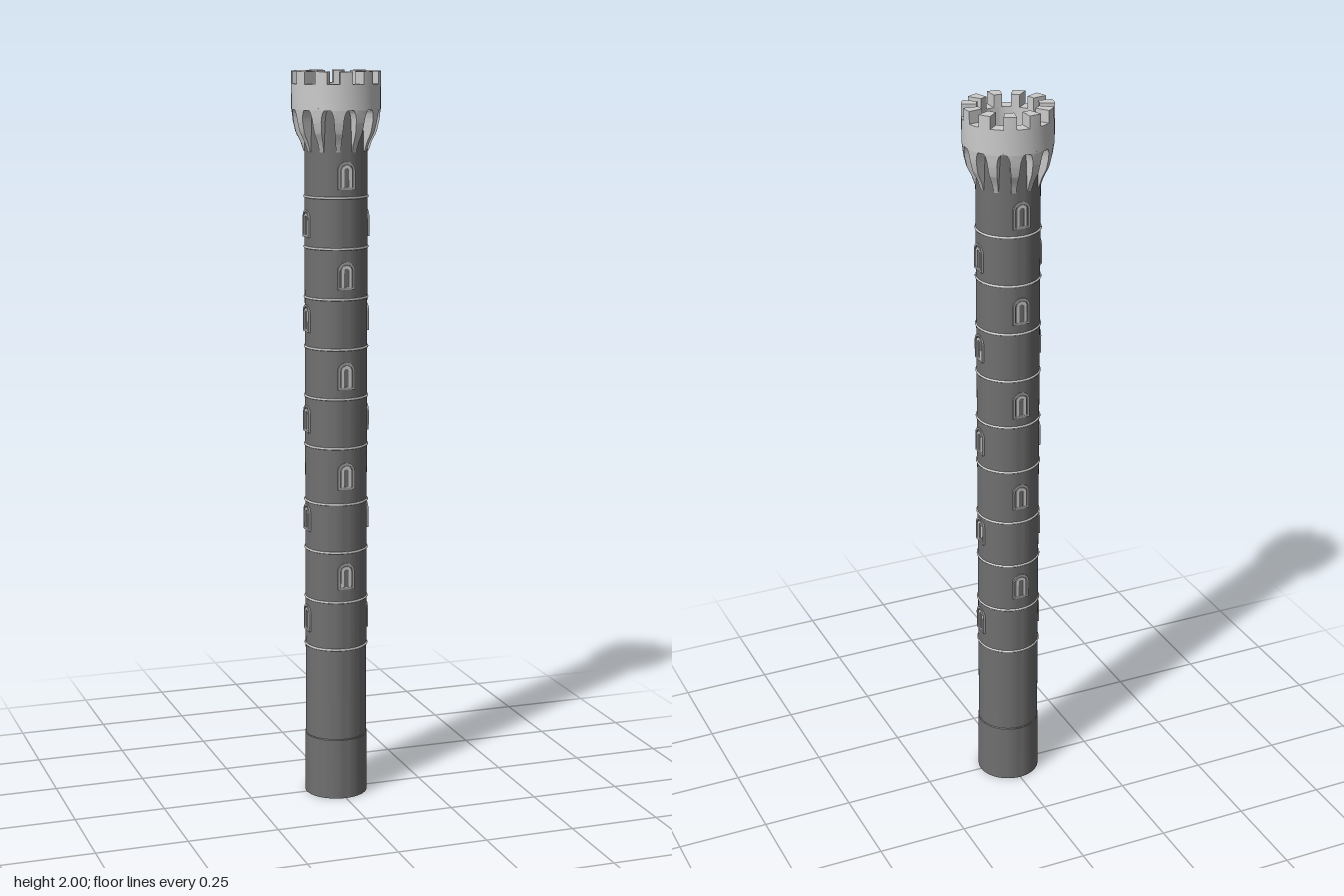
import * as THREE from 'three';
import { toCreasedNormals } from 'three/addons/utils/BufferGeometryUtils.js';

const light = new THREE.MeshStandardMaterial({ color: 0xcccccc });
const dark = new THREE.MeshStandardMaterial({ color: 0x707070 });
const mid = new THREE.MeshStandardMaterial({ color: 0xa0a0a0 });

function add(parent, name, geometry, material) {
  const mesh = new THREE.Mesh(geometry, material);
  mesh.name = name;
  parent.add(mesh);
  return mesh;
}

// Turned part from [radius, y] pairs, with sharp edges kept
function turned(pairs) {
  const points = pairs.map(([r, y]) => new THREE.Vector2(r, y));
  return toCreasedNormals(new THREE.LatheGeometry(points, 64), 0.5);
}

// Piecewise linear lookup in [y, value] pairs
function lookup(pairs, y) {
  for (let i = 1; i < pairs.length; i++) {
    const [y0, v0] = pairs[i - 1], [y1, v1] = pairs[i];
    if (y <= y1) return v0 + (v1 - v0) * (y - y0) / (y1 - y0);
  }
  return pairs[pairs.length - 1][1];
}

// Block wrapped round the tower axis; outer radius and half angle vary with y
function bentBlock(y0, y1, inner, outer, halfAngle, rows) {
  const g = new THREE.BoxGeometry(1, 1, 1, 5, rows, 1);
  const p = g.attributes.position;
  for (let i = 0; i < p.count; i++) {
    const y = y0 + (p.getY(i) + 0.5) * (y1 - y0);
    const a = p.getX(i) * 2 * halfAngle(y);
    const r = p.getZ(i) > 0 ? outer(y) : inner;
    p.setXYZ(i, Math.sin(a) * r, y, Math.cos(a) * r);
  }
  return toCreasedNormals(g, 0.5);
}

// Round-headed outline centred on x, standing on y = bottom
function archPath(path, half, bottom, spring) {
  path.moveTo(-half, bottom);
  path.lineTo(half, bottom);
  path.lineTo(half, spring);
  path.absarc(0, spring, half, 0, Math.PI, false);
  path.closePath();
  return path;
}

function archFrame(outerHalf, innerHalf, bottom, sill, spring, depth) {
  const shape = archPath(new THREE.Shape(), outerHalf, bottom, spring);
  shape.holes.push(archPath(new THREE.Path(), innerHalf, sill, spring));
  return new THREE.ExtrudeGeometry(shape, { depth, bevelEnabled: false, curveSegments: 12 });
}

export function createModel() {
  const tower = new THREE.Group();
  tower.name = 'tower';

  // Hollow shaft with a slightly wider foot, and its pale lining
  add(tower, 'shaft', turned([
    [0.066, 0], [0.0865, 0], [0.0865, 0.17], [0.0845, 0.172], [0.0845, 1.9],
  ]), dark);
  add(tower, 'lining', turned([[0, 1.88], [0.066, 1.88], [0.066, 0]]), light);

  // String courses
  for (const y of [0.43, 0.565, 0.705, 0.84, 0.995, 1.13, 1.265, 1.4, 1.535, 1.67]) {
    const ring = add(tower, 'stringCourse', new THREE.TorusGeometry(0.0845, 0.0032, 8, 64), light);
    ring.rotation.x = Math.PI / 2;
    ring.position.y = y;
  }

  // Arched windows, alternating between the front/back and the two sides
  const outerFrame = archFrame(0.024, 0.018, -0.038, -0.032, 0.012, 0.009);
  const innerFrame = archFrame(0.0145, 0.0065, -0.032, -0.031, 0.012, 0.009);
  const windows = [
    { heights: [0.64, 0.92, 1.195, 1.465, 1.73], turns: [0, Math.PI] },
    { heights: [0.51, 0.795, 1.07, 1.345, 1.6], turns: [Math.PI / 2, -Math.PI / 2] },
  ];
  for (const { heights, turns } of windows) {
    for (const y of heights) {
      for (const turn of turns) {
        const win = new THREE.Group();
        win.name = 'window';
        add(win, 'windowFrame', outerFrame, mid).position.z = 0.0775;
        add(win, 'windowSurround', innerFrame, light).position.z = 0.077;
        win.position.y = y;
        win.rotation.y = turn;
        tower.add(win);
      }
    }
  }

  // Corbels that flare outwards and meet in small arches
  const flare = [[1.79, 0.0865], [1.815, 0.095], [1.84, 0.108], [1.87, 0.115], [1.905, 0.119]];
  const corbelHalf = (y) => {
    if (y < 1.865) return lookup([[1.79, 0.07], [1.865, 0.11]], y);
    const t = Math.min(1, (y - 1.865) / 0.04);
    return 0.11 + (Math.PI / 12 - 0.11) * (1 - Math.sqrt(1 - t * t));
  };
  const corbel = bentBlock(1.79, 1.905, 0.08, (y) => lookup(flare, y), corbelHalf, 20);
  for (let i = 0; i < 12; i++) {
    add(tower, 'corbel', corbel, light).rotation.y = (i + 0.5) * Math.PI / 6;
  }

  // Parapet wall and the floor inside it
  add(tower, 'parapet', turned([
    [0.08, 1.9], [0.119, 1.9], [0.119, 1.967], [0.08, 1.967], [0.08, 1.9],
  ]), light);
  const floor = add(tower, 'floor', new THREE.CircleGeometry(0.0845, 64), dark);
  floor.rotation.x = -Math.PI / 2;
  floor.position.y = 1.902;

  // Eleven merlons with equal gaps
  const half = Math.PI / 22;
  const merlon = bentBlock(1.966, 2, 0.08, () => 0.119, () => half, 1);
  for (let i = 0; i < 11; i++) {
    add(tower, 'merlon', merlon, light).rotation.y = 0.045 - half + i * 4 * half;
  }
  return tower;
}
